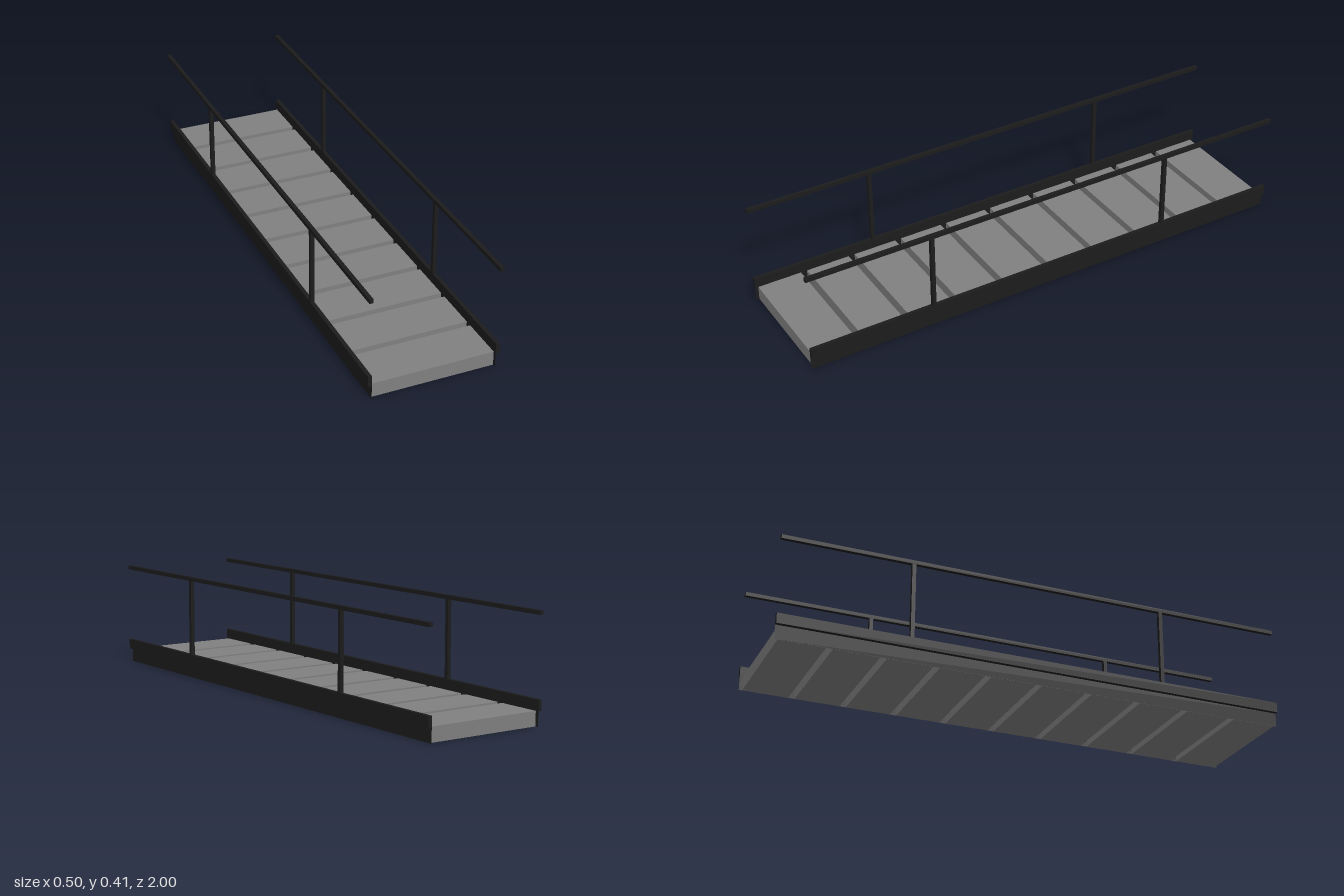
import * as THREE from 'three';

export function createModel() {
  const model = new THREE.Group();
  model.name = 'footbridge';
  const steel = new THREE.MeshStandardMaterial({ color: 0x1c1c1c });
  const sheet = new THREE.MeshStandardMaterial({ color: 0x1c1c1c, side: THREE.DoubleSide });
  const deck = new THREE.MeshStandardMaterial({ color: 0x808080 });

  const half = 0.235;          // half width of the deck
  const bar = 0.015;           // thickness of the railing steel
  const deckTop = 0.055, curbTop = 0.095, railTop = 0.405;

  function add(name, geometry, material, x, y, z) {
    const mesh = new THREE.Mesh(geometry, material);
    mesh.name = name;
    mesh.position.set(x, y, z);
    model.add(mesh);
    return mesh;
  }

  // Deck planks with open gaps between them
  const plank = new THREE.BoxGeometry(half * 2, deckTop, 0.175);
  for (let i = 0; i < 10; i++) add('plank', plank, deck, 0, deckTop / 2, -0.9 + 0.2 * i);

  const curb = new THREE.BoxGeometry(bar, curbTop - deckTop, 2);
  const rail = new THREE.BoxGeometry(bar, bar, 2);
  const postHeight = railTop - bar - curbTop;
  const post = new THREE.BoxGeometry(bar, postHeight, bar);
  const web = new THREE.PlaneGeometry(2, deckTop);

  for (const side of [-1, 1]) {
    const x = side * (half + bar / 2);
    // Thin side plate below the curb, closing the plank ends
    add('sidePlate', web, sheet, side * (half + 0.0005), deckTop / 2, 0).rotation.y = side * Math.PI / 2;
    add('curb', curb, steel, x, (deckTop + curbTop) / 2, 0);
    add('handrail', rail, steel, x, railTop - bar / 2, 0);
    for (const z of [-0.5, 0.505]) add('railPost', post, steel, x, curbTop + postHeight / 2, z);
  }
  return model;
}
